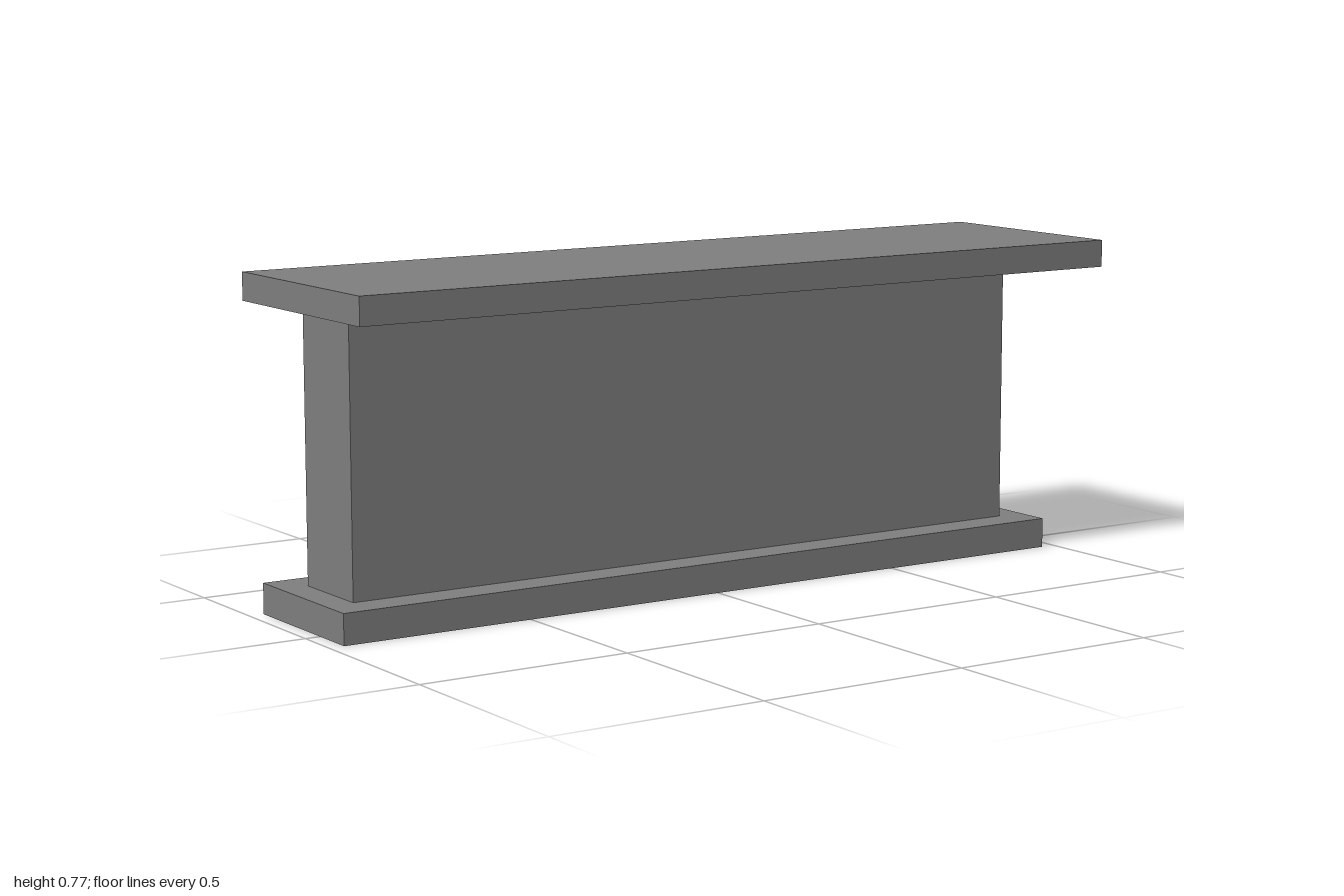
import * as THREE from 'three';

const material = new THREE.MeshStandardMaterial({ color: 0x808080 });

// Box centred on x, given its width and its y and z extents
function slab(name, width, [y0, y1], [z0, z1]) {
  const mesh = new THREE.Mesh(new THREE.BoxGeometry(width, y1 - y0, z1 - z0), material);
  mesh.name = name;
  mesh.position.set(0, (y0 + y1) / 2, (z0 + z1) / 2);
  return mesh;
}

export function createModel() {
  const group = new THREE.Group();
  group.name = 'counter';
  group.add(
    // Plinth, flush with the countertop at the back
    slab('base', 1.93, [0, 0.071], [-0.269, 0.11]),
    // Main body, set back under the front overhang
    slab('body', 1.794, [0.071, 0.704], [-0.185, 0.026]),
    // Overhanging top
    slab('countertop', 2, [0.704, 0.768], [-0.269, 0.269]),
  );
  return group;
}
